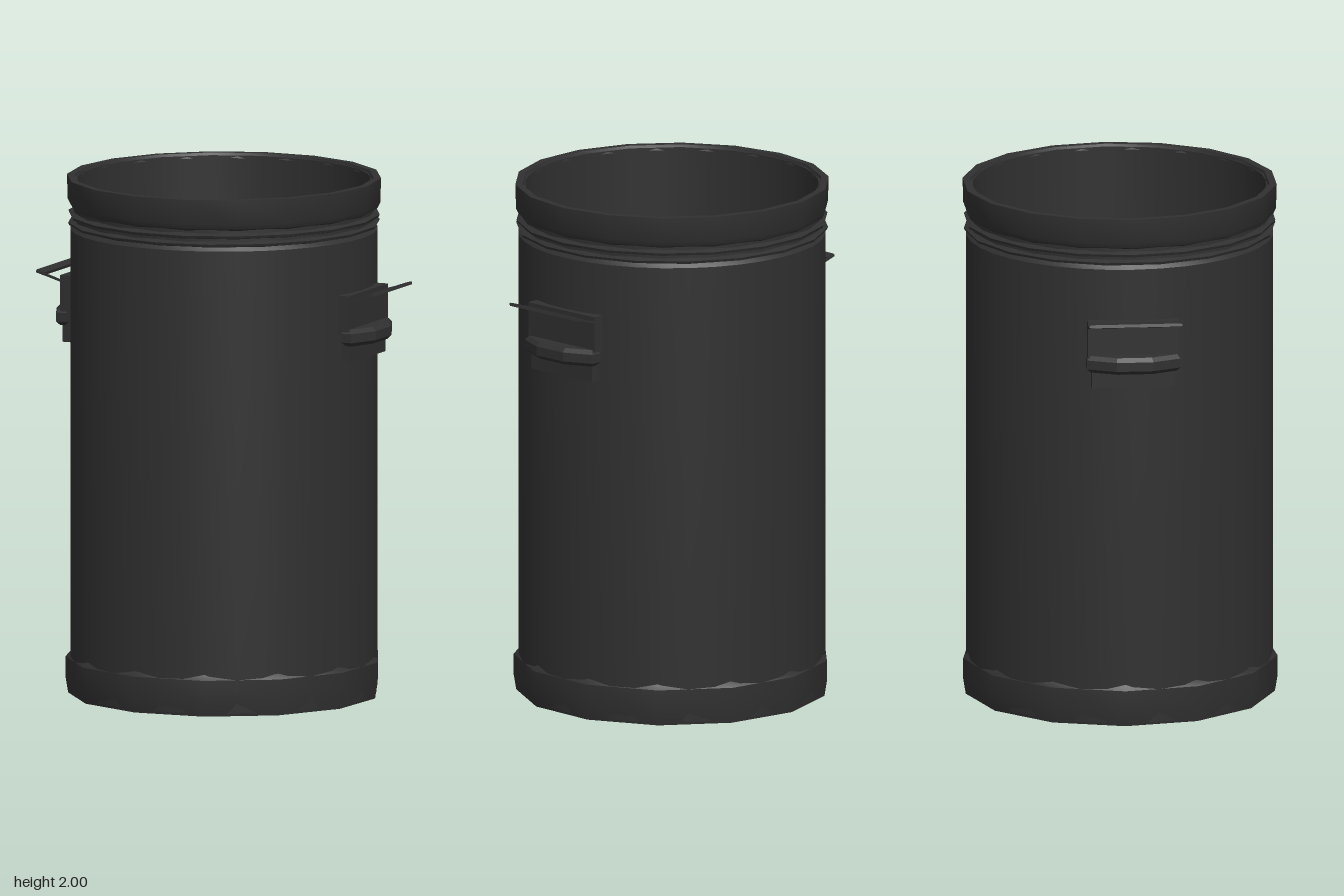
import * as THREE from 'three';
import { toCreasedNormals } from 'three/addons/utils/BufferGeometryUtils.js';

const steel = new THREE.MeshStandardMaterial({ color: 0x303030 });
steel.name = 'dark steel';

function add(parent, name, geometry) {
  const mesh = new THREE.Mesh(geometry, steel);
  mesh.name = name;
  parent.add(mesh);
  return mesh;
}

// Turned part: profile of [radius, y], first corner placed at angle `turn`
function turned(profile, sides, turn = 0) {
  const points = profile.map(([r, y]) => new THREE.Vector2(r, y));
  return toCreasedNormals(new THREE.LatheGeometry(points, sides, turn), 0.6);
}

// Handle for the +x side
function createHandle() {
  const handle = new THREE.Group();
  handle.name = 'handle';

  add(handle, 'mountPlate', new THREE.BoxGeometry(0.045, 0.15, 0.35)).position.set(0.588, 1.525, 0);
  add(handle, 'lowerPlate', new THREE.BoxGeometry(0.04, 0.11, 0.32)).position.set(0.588, 1.395, 0);

  // Bulging grip: half-hexagon cross-section swept through four stations
  const outline = new THREE.Shape([
    [0.58, -0.18], [0.625, -0.18], [0.675, -0.07],
    [0.675, 0.07], [0.625, 0.18], [0.58, 0.18],
  ].map(([x, z]) => new THREE.Vector2(x, -z)));
  const grip = new THREE.ExtrudeGeometry(outline, {
    depth: 0.035, bevelThickness: 0.015, bevelSize: 0.015, bevelOffset: -0.015, bevelSegments: 1,
  });
  grip.rotateX(-Math.PI / 2);
  add(handle, 'grip', grip).position.y = 1.42;

  // Raised bail: a flat bar on two thin arms
  const bail = new THREE.Group();
  bail.name = 'bail';
  bail.position.set(0.595, 1.575, 0);
  bail.rotation.z = 0.29;
  add(bail, 'bailBar', new THREE.BoxGeometry(0.035, 0.012, 0.35)).position.set(0.104, 0, 0);
  for (const side of [-1, 1]) {
    add(bail, 'bailArm', new THREE.BoxGeometry(0.12, 0.008, 0.008)).position.set(0.06, 0, side * 0.175);
  }
  handle.add(bail);
  return handle;
}

export function createModel() {
  const model = new THREE.Group();
  model.name = 'barrel';

  // Hollow body with a floor
  add(model, 'body', turned([
    [0, 0.01], [0.585, 0.01], [0.589, 0.1], [0.589, 1.8], [0.575, 1.815],
    [0.575, 1.99], [0.562, 1.99], [0.562, 0.03], [0, 0.03],
  ], 36));

  // Faceted foot band
  add(model, 'footBand', turned([
    [0, 0], [0.596, 0], [0.606, 0.06], [0.606, 0.14], [0.588, 0.16],
  ], 13, -0.17));

  // Two thin ribs under the rim
  [1.826, 1.858].forEach((y, i) => add(model, 'rib', turned([
    [0.57, y - 0.014], [0.594, y - 0.008], [0.598, y + 0.002], [0.57, y + 0.014],
  ], 18, i * 0.17)));

  // Rim collar
  add(model, 'rim', turned([
    [0.57, 1.875], [0.59, 1.885], [0.6, 1.905], [0.603, 2], [0.575, 2], [0.568, 1.98],
  ], 18, -0.17));

  // Handles on both sides
  const left = createHandle();
  const right = createHandle();
  right.rotation.y = Math.PI;
  model.add(left, right);

  return model;
}
